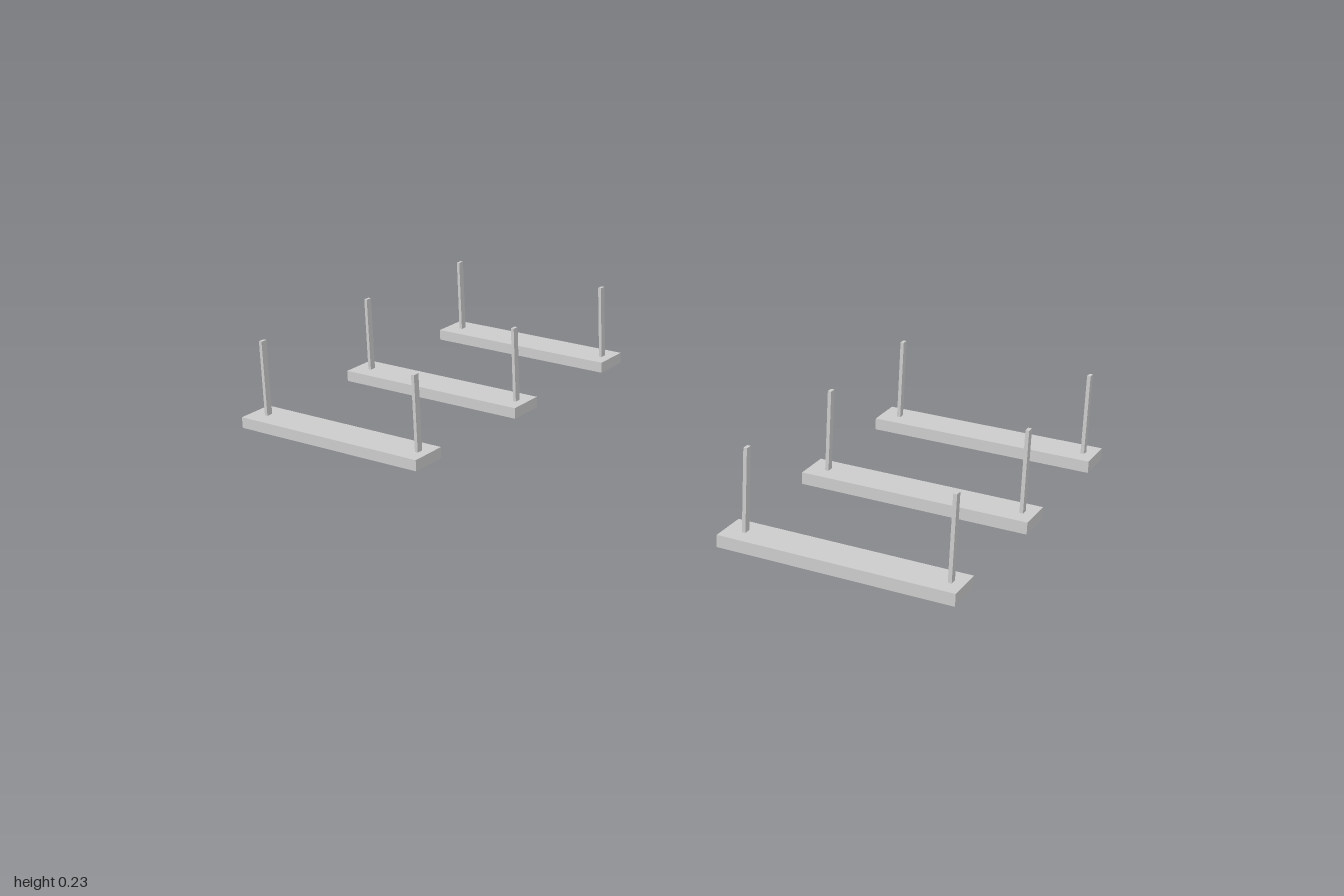
import * as THREE from 'three';

export function createModel() {
  const model = new THREE.Group();
  const material = new THREE.MeshStandardMaterial({ color: 0xcccccc, flatShading: true });
  const slabHeight = 0.03, top = 0.235, slabLength = 0.574;
  const slabGeometry = new THREE.BoxGeometry(slabLength, slabHeight, 0.102);
  const rodGeometry = new THREE.BoxGeometry(0.009, top - slabHeight, 0.018);

  function addPart(parent, name, geometry, x, y) {
    const mesh = new THREE.Mesh(geometry, material);
    mesh.name = name;
    mesh.position.set(x, y, 0);
    parent.add(mesh);
  }

  // One hanging panel: a flat slab with two upright suspension bars
  function hangingPanel(x, z) {
    const panel = new THREE.Group();
    panel.name = 'hangingPanel';
    panel.position.set(x, 0, z);
    addPart(panel, 'slab', slabGeometry, 0, slabHeight / 2);
    const rodY = (slabHeight + top) / 2;
    // The bars sit slightly off centre, towards +x
    addPart(panel, 'rightSuspensionBar', rodGeometry, -0.241, rodY);
    addPart(panel, 'leftSuspensionBar', rodGeometry, 0.256, rodY);
    return panel;
  }

  // Two columns of three panels
  for (const x of [-0.713, 0.713]) {
    for (const z of [-0.423, 0.001, 0.423]) model.add(hangingPanel(x, z));
  }
  return model;
}
